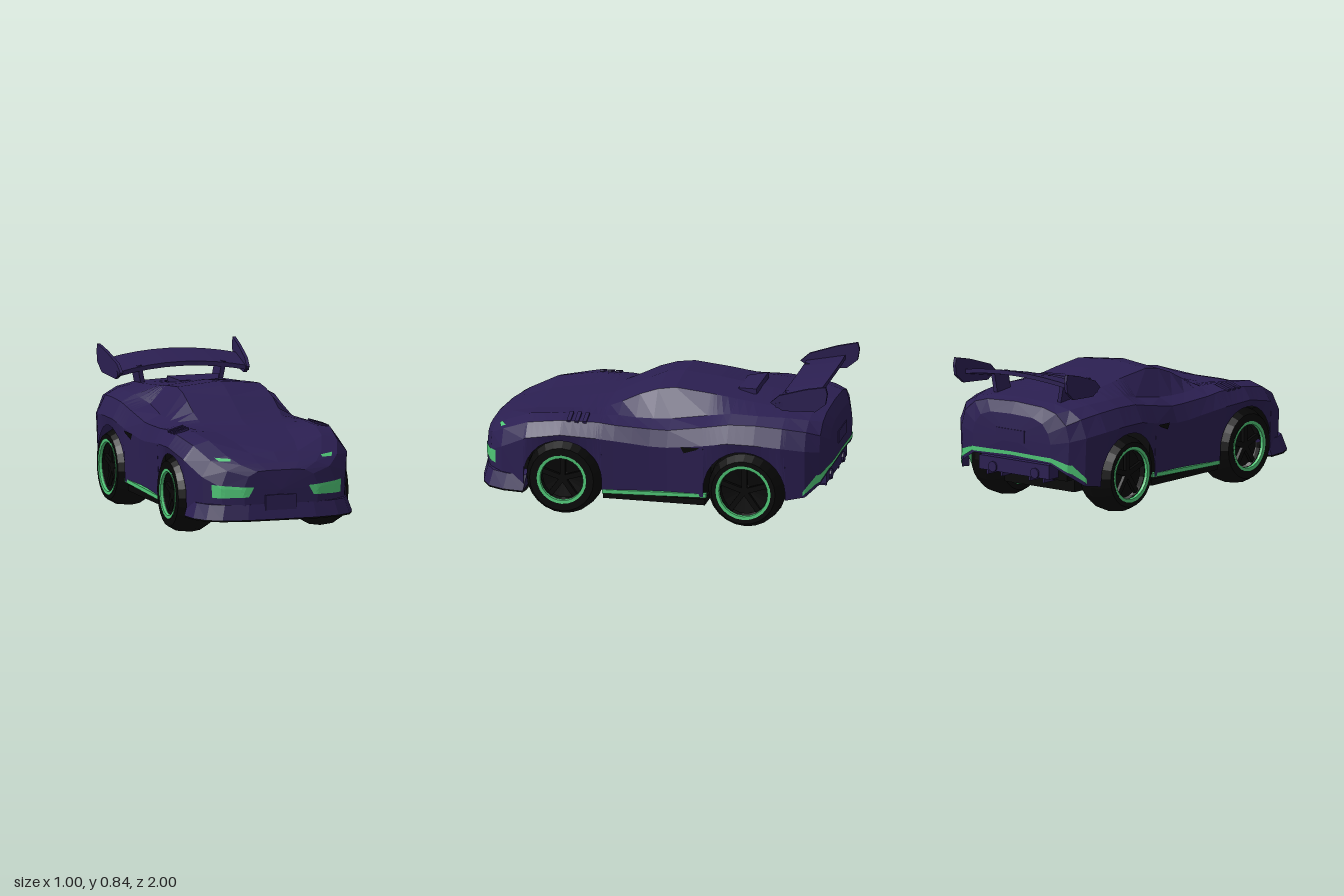
import * as THREE from 'three';

const purple = new THREE.MeshStandardMaterial({ color: 0x2b1f51, side: THREE.DoubleSide });
purple.name = 'purple paint';
const green = new THREE.MeshStandardMaterial({ color: 0x50c878, side: THREE.DoubleSide });
green.name = 'emerald trim';
const black = new THREE.MeshStandardMaterial({ color: 0x070707, side: THREE.DoubleSide });
black.name = 'black rubber';

// Faceted mesh
function part(name, geo, mat, x = 0, y = 0, z = 0) {
  const g = geo.index ? geo.toNonIndexed() : geo;
  g.computeVertexNormals();
  const m = new THREE.Mesh(g, mat);
  m.name = name;
  m.position.set(x, y, z);
  return m;
}
const box = (name, mat, w, h, d, x, y, z) => part(name, new THREE.BoxGeometry(w, h, d), mat, x, y, z);

function bend(geo, rule) {
  const p = geo.attributes.position, v = new THREE.Vector3();
  for (let i = 0; i < p.count; i++) {
    v.fromBufferAttribute(p, i);
    rule(v);
    p.setXYZ(i, v.x, v.y, v.z);
  }
  return geo;
}

// Body curves, sampled at these stations from nose to tail
const Z = [.975, .93, .85, .7, .5, .3, .2, .1, 0, -.1, -.3, -.45, -.6, -.75, -.88, -.95, -.985];
const C = {
  sideX: [.22, .335, .42, .48, .50, .487, .478, .47, .465, .465, .485, .5, .5, .49, .45, .385, .28],
  sideY: [.30, .31, .36, .44, .48, .47, .46, .45, .44, .44, .47, .5, .5, .49, .47, .45, .43],
  shoulderX: [.19, .30, .37, .42, .45, .44, .44, .435, .43, .43, .44, .45, .45, .44, .41, .36, .26],
  shoulderY: [.37, .40, .45, .515, .55, .55, .54, .535, .53, .53, .565, .595, .60, .59, .57, .54, .49],
  beltX: [.14, .22, .28, .33, .36, .35, .345, .35, .345, .34, .33, .37, .38, .36, .33, .29, .22],
  beltY: [.395, .43, .475, .54, .565, .565, .57, .565, .565, .57, .60, .635, .635, .63, .615, .60, .54],
  roofX: [.08, .12, .14, .17, .20, .24, .25, .25, .245, .24, .24, .24, .25, .25, .22, .20, .15],
  roofY: [.40, .435, .48, .52, .545, .575, .62, .67, .705, .72, .70, .68, .665, .65, .64, .625, .565],
  topY: [.40, .435, .485, .52, .545, .585, .635, .685, .73, .742, .722, .70, .68, .66, .648, .635, .57],
  sillY: [.16, .14, .13, .13, .17, .17, .17, .17, .17, .17, .17, .17, .18, .18, .20, .26, .32],
};
function at(key, z) {
  let i = 0;
  while (i < Z.length - 2 && z < Z[i + 1]) i++;
  return THREE.MathUtils.lerp(C[key][i], C[key][i + 1], (Z[i] - z) / (Z[i] - Z[i + 1]));
}

const ARCHES = [{ z: .49, r: .222, ring: .14 }, { z: -.543, r: .232, ring: .156 }];
const AXLE_Y = .22;

function section(z) {
  let low = at('sillY', z);
  for (const a of ARCHES) {
    const d = Math.abs(z - a.z);
    if (d <= a.r) low = Math.max(low, AXLE_Y + Math.sqrt(a.r * a.r - d * d));
  }
  const half = [[at('sideX', z) - .012, low]];
  for (const k of ['side', 'shoulder', 'belt', 'roof']) half.push([at(k + 'X', z), at(k + 'Y', z)]);
  return [...half, [0, at('topY', z)], ...half.slice().reverse().map(([x, y]) => [-x, y])]
    .map(([x, y]) => [x, y, z]);
}

// Shell lofted from nose to tail with cut wheel arches
function shellGeometry() {
  const zs = [...Z];
  for (const a of ARCHES) {
    zs.push(a.z - a.r - .0006, a.z + a.r + .0006);
    for (let i = 0; i <= 14; i++) zs.push(a.z + (a.r - .0001) * Math.cos(i / 14 * Math.PI));
  }
  const rows = zs.sort((a, b) => b - a).map(section), out = [];
  for (let i = 0; i < rows.length - 1; i++) {
    for (let j = 0; j < rows[i].length - 1; j++) {
      const a = rows[i][j], b = rows[i][j + 1], c = rows[i + 1][j], d = rows[i + 1][j + 1];
      if (j < 5) out.push(a, c, b, b, c, d);
      else out.push(a, d, b, a, c, d);
    }
  }
  const nose = rows[0], tail = rows[rows.length - 1], n = nose.length;
  for (let j = 0; j < n; j++) {
    out.push([0, .29, .982], nose[j], nose[(j + 1) % n]);
    out.push([0, .44, -.995], tail[(j + 1) % n], tail[j]);
  }
  const g = new THREE.BufferGeometry();
  g.setAttribute('position', new THREE.Float32BufferAttribute(out.flat(), 3));
  return g;
}

// Thin patch laid on the shell: four corners cast along a direction
function patch(name, mat, shell, corners, dir) {
  const ray = new THREE.Raycaster(), n = new THREE.Vector3(...dir);
  const [a, b, c, d] = corners.map(p => new THREE.Vector3(...p));
  const g = bend(new THREE.PlaneGeometry(1, 1, 10, 4), v => {
    const u = v.x + .5, t = v.y + .5;
    const p = a.clone().lerp(b, u).lerp(d.clone().lerp(c, u), t);
    ray.set(p.clone().addScaledVector(n, -3), n);
    const hit = ray.intersectObject(shell)[0];
    v.copy(hit ? hit.point : p).addScaledVector(n, -.005);
  });
  return part(name, g, mat);
}

// Wheel spins about x; its outer face is towards +x
function wheel(ringR) {
  const g = new THREE.Group();
  const lathe = (name, pts, mat) => {
    const geo = new THREE.LatheGeometry(pts.map(p => new THREE.Vector2(...p)), 24).rotateZ(-Math.PI / 2);
    g.add(part(name, geo, mat));
  };
  lathe('tyre', [[.14, -.11], [.182, -.11], [.21, -.06], [.218, -.01], [.21, .06], [.182, .11],
    [ringR, .11], [ringR - .02, .09]], black);
  lathe('rimRing', [[ringR + .001, .113], [ringR - .017, .111], [ringR - .019, .095]], green);
  lathe('rimDish', [[.14, -.06], [ringR - .02, .06], [.03, .05], [0, .06]], black);
  lathe('innerRim', [[.09, -.08], [.095, -.122], [.148, -.122], [.155, -.10]], green);
  for (let i = 0; i < 5; i++) {
    const s = box('spoke', black, .02, ringR - .02, .03, 0, 0, 0);
    s.geometry.translate(.075, (ringR - .02) / 2, 0);
    s.rotation.x = i * Math.PI * 2 / 5;
    g.add(s);
  }
  return g;
}

// Plan outline of the front lip, pulled in towards its top
function lipGeometry(height) {
  const half = [[.478, .715], [.465, .83], [.42, .92], [.34, .968], [.2, .998]];
  const pts = [...half, ...half.slice().reverse().map(([x, z]) => [-x, z])];
  const shape = new THREE.Shape(pts.map(([x, z]) => new THREE.Vector2(x, -z)));
  const g = new THREE.ExtrudeGeometry(shape, { depth: height, bevelEnabled: false }).rotateX(-Math.PI / 2);
  return bend(g, v => { if (v.y > height / 2) { v.x *= .94; v.z *= .98; } });
}

export function createModel() {
  const car = new THREE.Group();
  car.name = 'sportsCar';
  const shell = part('bodyShell', shellGeometry(), purple);
  car.add(shell);

  // Floor and wheel wells
  car.add(
    box('floor', black, .86, .30, .555, 0, .27, -.025),
    box('floorPan', black, .91, .035, .58, 0, .134, -.025),
    box('spine', black, .5, .37, 1.45, 0, .305, -.015),
    box('frontWell', black, .68, .25, .16, 0, .255, .79),
    box('rearWell', black, .62, .28, .15, 0, .35, -.805),
    part('frontLip', lipGeometry(.085), purple, 0, .128, 0),
    part('lipUnderside', lipGeometry(.006), black, 0, .121, 0),
    box('frontPlate', purple, .18, .085, .02, -.005, .222, .982),
    box('rearPlate', purple, .2, .07, .012, 0, .45, -.99),
    box('diffuser', purple, .5, .08, .12, 0, .265, -.9),
  );

  for (const s of [1, -1]) {
    ARCHES.forEach((a, i) => {
      const w = wheel(a.ring);
      w.name = i ? 'rearWheel' : 'frontWheel';
      w.position.set(s * .388, AXLE_Y, a.z);
      if (s < 0) w.rotation.y = Math.PI;
      car.add(w);
    });

    // Lights, intakes and rear trim
    const face = (name, mat, pts, dir) =>
      car.add(patch(name, mat, shell, pts.map(([x, y, z]) => [s * x, y, z]), [s * dir[0], dir[1], dir[2]]));
    face('headlight', green, [[.19, .255, .9], [.375, .248, .9], [.38, .322, .9], [.16, .308, .9]], [0, 0, -1]);
    face('upperLight', green, [[.27, .448, .9], [.33, .447, .9], [.345, .465, .9], [.265, .46, .9]], [0, 0, -1]);
    face('sideIntake', black, [[.4, .42, -.2], [.4, .445, -.27], [.4, .46, -.29], [.4, .455, -.18]], [-1, 0, 0]);
    face('rearTrim', green, [[0, .34, -.9], [.28, .33, -.9], [.28, .355, -.9], [0, .36, -.9]], [0, 0, 1]);
    face('rearTrimCorner', green, [[.28, .33, -.9], [.4, .265, -.9], [.4, .315, -.9], [.28, .355, -.9]], [0, 0, 1]);
    face('rearTrimSide', green, [[.4, .212, -.87], [.4, .265, -.93], [.4, .325, -.94], [.4, .235, -.87]], [-1, 0, 0]);

    // Green lining inside the rear bumper corner
    const lining = new THREE.PlaneGeometry(1, 1);
    bend(lining, v => {
      const t = v.x + .5;
      v.set(s * (.415 - .075 * t), v.y < 0 ? .2 + .085 * t : .34, -.82 - .125 * t);
    });
    car.add(part('rearCornerLining', lining, green));

    // Side skirt, rising slightly to the rear
    const skirt = box('sideSkirt', green, .03, .022, .59, s * .457, .168, -.03);
    skirt.rotation.x = .03;
    car.add(skirt);

    // Fender slats
    for (let i = 0; i < 3; i++) {
      const slat = box('fenderSlat', purple, .09, .012, .022, s * .41, .562, .37 + i * .045);
      slat.rotation.z = -s * .3;
      car.add(slat);
    }

    // Diffuser fins and exhausts
    for (const x of [.1, .2]) car.add(box('diffuserFin', purple, .015, .08, .14, s * x, .24, -.88));
    const pipe = part('exhaust', new THREE.CylinderGeometry(.03, .03, .12, 10).rotateX(Math.PI / 2), purple,
      s * .15, .25, -.91);
    car.add(pipe);

    // Wing end plate, toed in at the front, and strut
    const outline = [[-.67, .72], [-.72, .765], [-.875, .815], [-.99, .84], [-1, .80], [-.99, .74], [-.93, .69], [-.74, .678]];
    const plate = new THREE.ExtrudeGeometry(new THREE.Shape(outline.map(([z, y]) => new THREE.Vector2(-z, y))),
      { depth: .018, bevelEnabled: false }).rotateY(Math.PI / 2);
    bend(plate, v => { v.x -= s * (v.z + .84) * .08; });
    car.add(part('wingEndPlate', plate, purple, s * .384 - .009, 0, 0));
    const strut = box('wingStrut', purple, .025, .13, .12, s * .235, .685, -.785);
    strut.rotation.z = -s * .2;
    car.add(strut);
  }

  // Arched rear wing
  const wing = bend(new THREE.BoxGeometry(.77, .025, .22, 8, 1, 1), v => {
    v.y += -.26 * v.x * v.x - v.z * .2;
    v.z += .2 * v.x * v.x;
  });
  car.add(part('rearWing', wing, purple, 0, .768, -.84));

  // Engine cover scoop
  const scoop = bend(new THREE.BoxGeometry(.3, .03, .11), v => { if (v.z > 0) v.x *= .75; });
  const cover = part('engineScoop', scoop, purple, 0, .692, -.485);
  cover.rotation.x = .12;
  car.add(cover);

  return car;
}
